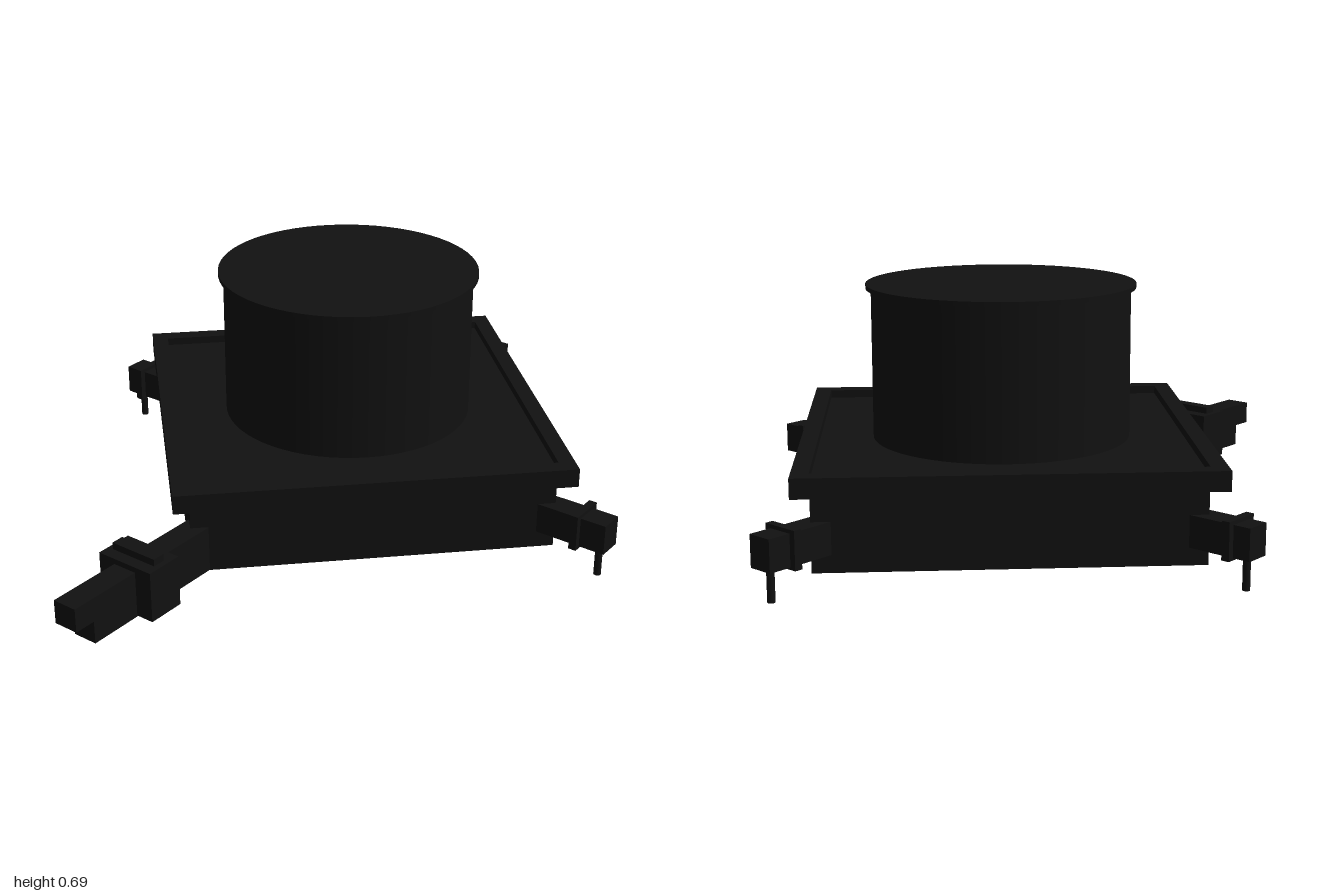
import * as THREE from 'three';

const CX = -0.015, CZ = -0.15;

export function createModel() {
  const model = new THREE.Group();
  const black = new THREE.MeshStandardMaterial({ color: 0x111111 });

  const add = (parent, name, geometry, x, y, z) => {
    const mesh = new THREE.Mesh(geometry, black);
    mesh.name = name;
    mesh.position.set(x, y, z);
    parent.add(mesh);
    return mesh;
  };

  // Box given by its ranges along each axis
  const block = (parent, name, x0, x1, y0, y1, z0, z1) =>
    add(parent, name, new THREE.BoxGeometry(x1 - x0, y1 - y0, z1 - z0),
      (x0 + x1) / 2, (y0 + y1) / 2, (z0 + z1) / 2);

  // Diamond-shaped slab or frame, r being half the diagonal
  const diamond = (r) => [[r, 0], [0, r], [-r, 0], [0, -r]].map(([x, y]) => new THREE.Vector2(x, y));
  const slab = (r, hole, height) => {
    const shape = new THREE.Shape(diamond(r));
    if (hole) shape.holes.push(new THREE.Path(diamond(hole).reverse()));
    const geometry = new THREE.ExtrudeGeometry(shape, { depth: height, bevelEnabled: false });
    return geometry.rotateX(-Math.PI / 2);
  };

  // Housing: four walls open below, a deck, and a raised rim around it
  const housing = new THREE.Group();
  housing.name = 'housing';
  housing.position.set(CX, 0, CZ);
  model.add(housing);
  add(housing, 'walls', slab(0.692, 0.67, 0.21), 0, 0.04, 0);
  add(housing, 'deck', slab(0.692, 0, 0.02), 0, 0.25, 0);
  add(housing, 'rim', slab(0.756, 0.692, 0.052), 0, 0.24, 0);

  // Drum with a thin overhanging lid
  add(housing, 'drum', new THREE.CylinderGeometry(0.348, 0.348, 0.41, 64), 0, 0.47, 0);
  add(housing, 'drumLid', new THREE.CylinderGeometry(0.362, 0.362, 0.012, 64), 0, 0.679, 0);

  // Three corner arms with collar and hanging pin, built along +x and turned
  [['leftArm', 0], ['backArm', Math.PI / 2], ['rightArm', Math.PI]].forEach(([name, turn]) => {
    const arm = new THREE.Group();
    arm.name = name;
    arm.position.set(CX, 0, CZ);
    arm.rotation.y = turn;
    const reach = name === 'leftArm' ? 0.86 : name === 'backArm' ? 0.85 : 0.835;
    block(arm, 'bar', 0.64, reach, 0.086, 0.17, -0.035, 0.035);
    block(arm, 'collar', 0.765, 0.787, 0.08, 0.18, -0.052, 0.052);
    add(arm, 'pin', new THREE.CylinderGeometry(0.01, 0.01, 0.1, 16), reach - 0.03, 0.05, 0);
    model.add(arm);
  });

  // Longer front arm with a stepped tip and a wide coupling
  const front = new THREE.Group();
  front.name = 'frontArm';
  block(front, 'upperBar', CX - 0.035, CX + 0.035, 0.105, 0.17, 0.51, 1);
  block(front, 'lowerBar', CX - 0.035, CX + 0.035, 0.042, 0.105, 0.51, 0.94);
  block(front, 'coupling', CX - 0.086, CX + 0.086, 0.045, 0.185, 0.685, 0.79);
  block(front, 'couplingBand', CX - 0.07, CX + 0.07, 0.032, 0.204, 0.722, 0.757);
  model.add(front);

  return model;
}
